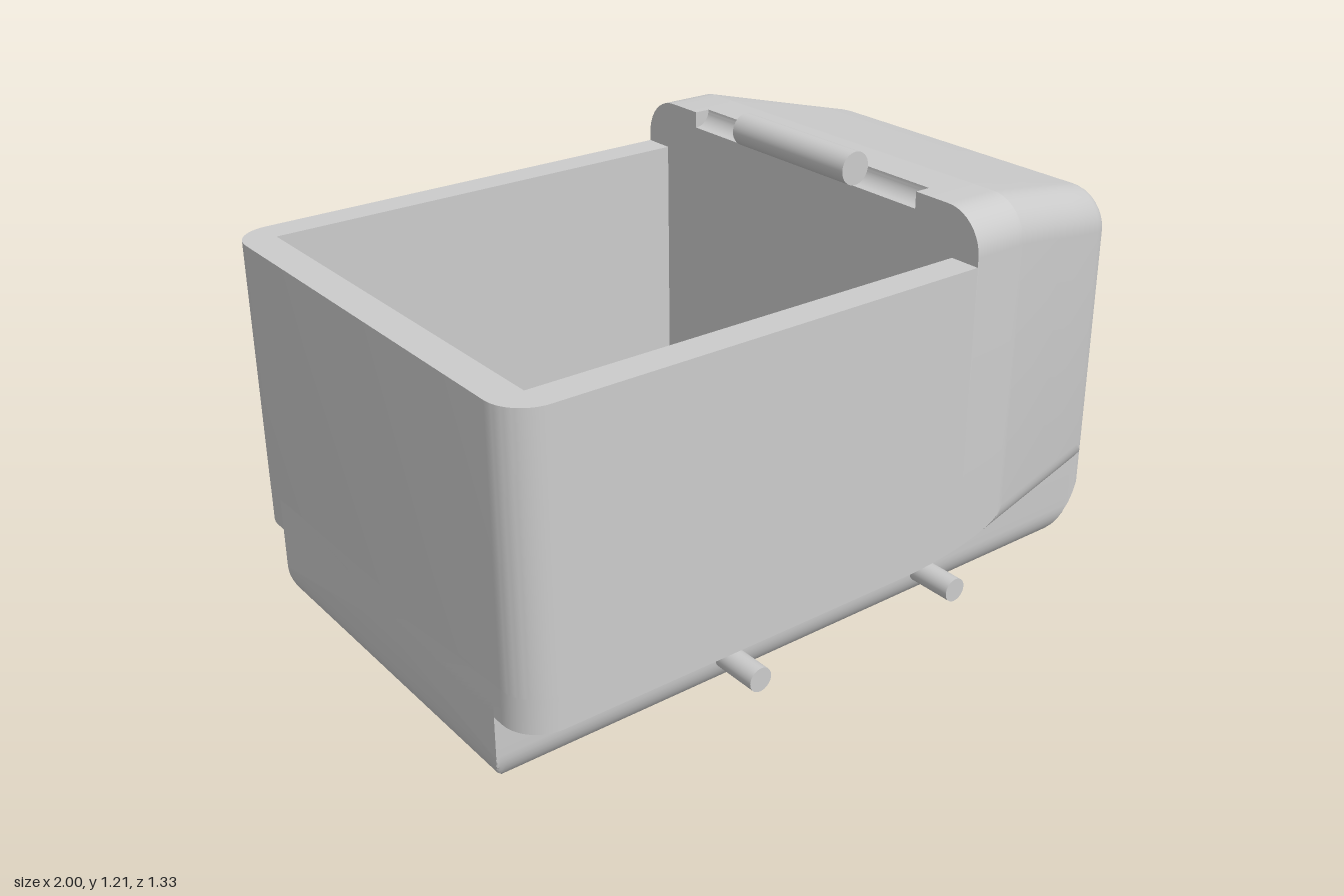
import * as THREE from 'three';
import { toCreasedNormals } from 'three/addons/utils/BufferGeometryUtils.js';

const material = new THREE.MeshStandardMaterial({ color: 0xcccccc });
const HALF = 0.667, HULL = 0.533, WALL_X = 0.333, TAPER_X = 0.49, FLOOR = 0.315, RIM = 1.022;
const TAPER = Math.atan(0.26), EDGE = 0.093, UNDER = 0.222, NOSE_R = 0.11, NOSE_X = 0.89;
const PIN_R = 0.045;
const arc = (r, d) => Math.sqrt(Math.max(0, r * r - d * d));
const steps = (n, f) => Array.from({ length: n + 1 }, (_, i) => f(i / n));

// Side plane of the nose taper, before rounding
const sidePlane = (x) => HALF - 0.26 * (x - TAPER_X);
// Half width of the body, with rounded back corners and nose
function halfWidth(x) {
  if (x < -0.9) return HALF - 0.1 + arc(0.1, x + 0.9);
  if (x > 0.918) return 0.449 + arc(NOSE_R, x - NOSE_X);
  return Math.min(HALF, sidePlane(x));
}
// Height of the hood
function hoodTop(x) {
  if (x > 0.914) return 0.954 + arc(NOSE_R, x - NOSE_X);
  return 1.157 - 0.227 * Math.max(0, x - TAPER_X);
}
// Keel line: rounded at the back, sloping up at the nose
function keel(x) {
  if (x < -0.9) return 0.1 - arc(0.1, x + 0.9);
  if (x > 0.907) return 0.063 + 1.85 * (x - 0.907);
  return x > 0.8 ? 0.122 - arc(0.122, x - 0.8) : 0;
}

// Half outline of the body: rounded underside, side, top corner, hinge notch
function bodySection(x, isHood) {
  const w = halfWidth(x), plane = sidePlane(x), cos = Math.cos(TAPER);
  const dMin = Math.max(0, (plane - w) * cos);
  const aMax = Math.asin(Math.max(0, (EDGE - dMin) / EDGE));
  const pts = steps(10, (t) => {
    const a = t * aMax;
    const z = Math.min(w, plane - EDGE * (1 - Math.sin(a)) / cos);
    return [z, Math.max(keel(x), UNDER + EDGE * (1 - Math.cos(a)))];
  });
  const top = isHood ? hoodTop(x) : FLOOR;
  let r = 0;
  if (isHood) r = x > 0.918 ? Math.max(0.02, NOSE_R - (plane - w)) : NOSE_R;
  pts.push(...steps(10, (t) => {
    const a = t * Math.PI / 2;
    return [w - r + r * Math.cos(a), top - r + r * Math.sin(a)];
  }));
  const zNotch = Math.min(0.445, w - r);
  const depth = isHood ? arc(PIN_R, x - WALL_X) : 0;
  pts.push([zNotch, top], [zNotch, top - depth]);
  return pts;
}

// Half outline of the narrow lower hull
function hullSection(x) {
  const w = Math.min(HULL, halfWidth(x)), r = 0.11;
  const pts = steps(10, (t) => {
    const a = t * Math.PI / 2;
    const z = Math.min(w, HULL - r + r * Math.sin(a));
    return [z, Math.max(keel(x), r - r * Math.cos(a))];
  });
  pts.push([w, 0.312]);
  return pts;
}

// Skin over mirrored half outlines, with a cap at each end
function loft(sections) {
  const pos = [], index = [];
  const n = sections[0].half.length * 2;
  for (const { x, half } of sections) {
    for (const [z, y] of half) pos.push(x, y, z);
    for (const [z, y] of [...half].reverse()) pos.push(x, y, -z);
  }
  for (let i = 0; i < sections.length - 1; i++) {
    for (let j = 0; j < n; j++) {
      const a = i * n + j, d = i * n + (j + 1) % n;
      index.push(a, a + n, d + n, a, d + n, d);
    }
  }
  const last = sections.length - 1;
  for (const i of [0, last]) {
    const { x, half } = sections[i];
    const c = pos.length / 3;
    pos.push(x, (half[0][1] + half[half.length - 1][1]) / 2, 0);
    for (let j = 0; j < n; j++) {
      const a = i * n + j, b = i * n + (j + 1) % n;
      if (i === 0) index.push(c, a, b);
      else index.push(c, b, a);
    }
  }
  const g = new THREE.BufferGeometry();
  g.setAttribute('position', new THREE.Float32BufferAttribute(pos, 3));
  g.setIndex(index);
  return toCreasedNormals(g, 0.2);
}

export function createModel() {
  const group = new THREE.Group();
  const add = (name, geometry) => {
    const mesh = new THREE.Mesh(geometry, material);
    mesh.name = name;
    group.add(mesh);
    return mesh;
  };
  const rod = (name, radius, length, x, y) => {
    const g = new THREE.CylinderGeometry(radius, radius, length, 32);
    add(name, g.rotateX(Math.PI / 2)).position.set(x, y, 0);
  };

  const backXs = steps(10, (t) => -0.9 - 0.1 * Math.cos(t * Math.PI / 2));
  const noseXs = steps(8, (t) => NOSE_X + NOSE_R * Math.sin(TAPER + t * (Math.PI / 2 - TAPER)));

  // Floor slab and hood in one skin
  const floorXs = [...backXs, ...steps(9, (t) => 0.121 + (WALL_X - 0.121) * t)];
  const hoodXs = [
    ...steps(10, (t) => WALL_X + PIN_R * Math.sin(t * Math.PI / 2)),
    ...steps(6, (t) => 0.4 + (TAPER_X - 0.4) * t), 0.7, 0.8, ...noseXs,
  ];
  add('floorAndHood', loft([
    ...floorXs.map((x) => ({ x, half: bodySection(x, false) })),
    ...hoodXs.map((x) => ({ x, half: bodySection(x, true) })),
  ]));

  // Walls of the open tub
  const plan = new THREE.Shape();
  plan.moveTo(WALL_X, -HALF);
  plan.lineTo(WALL_X, -0.58);
  plan.lineTo(-0.91, -0.58);
  plan.lineTo(-0.91, 0.58);
  plan.lineTo(WALL_X, 0.58);
  plan.lineTo(WALL_X, HALF);
  plan.lineTo(-0.9, HALF);
  plan.absarc(-0.9, HALF - 0.1, 0.1, Math.PI / 2, Math.PI, false);
  plan.lineTo(-1, -HALF + 0.1);
  plan.absarc(-0.9, -HALF + 0.1, 0.1, Math.PI, Math.PI * 1.5, false);
  const walls = new THREE.ExtrudeGeometry(plan, { depth: RIM - FLOOR, bevelEnabled: false, curveSegments: 10 });
  walls.rotateX(Math.PI / 2).translate(0, RIM, 0);
  add('tubWalls', toCreasedNormals(walls, 0.2));

  // Lower hull
  const keelXs = steps(8, (t) => 0.8 + 0.107 * t);
  const hullXs = [...backXs, ...keelXs, ...noseXs].sort((a, b) => a - b);
  add('lowerHull', loft(hullXs.map((x) => ({ x, half: hullSection(x) }))));

  // Axles through the hull and hinge pin on the hood
  rod('rearAxle', 0.033, 2 * HALF, -0.333, 0.111);
  rod('frontAxle', 0.033, 2 * HALF, 0.333, 0.111);
  rod('hingePin', PIN_R, 0.445, WALL_X, 1.16);

  return group;
}
